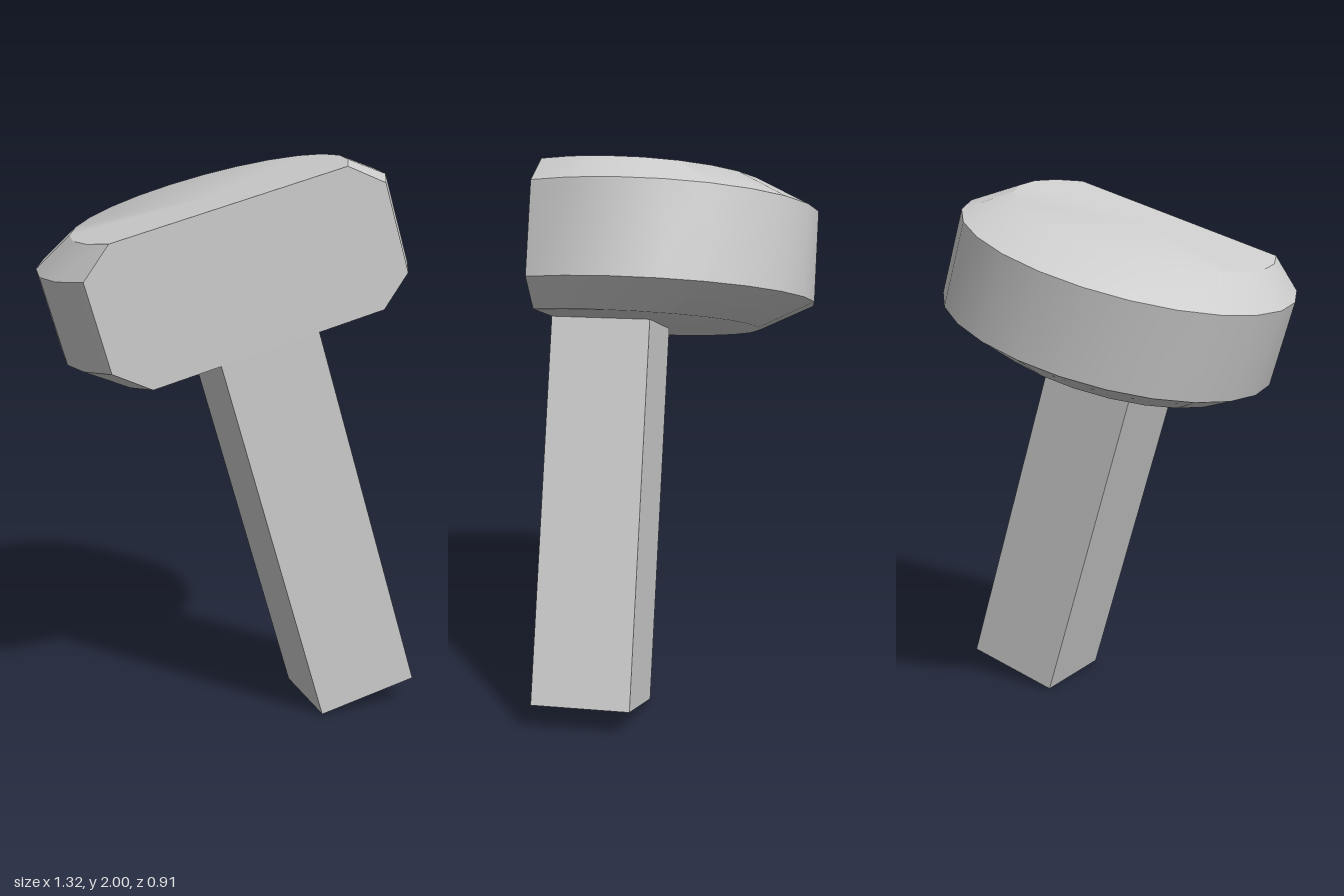
import * as THREE from 'three';
import { toCreasedNormals } from 'three/addons/utils/BufferGeometryUtils.js';

const FRONT = 0.455; // plane of the flat front

// Leaning frame: x runs along the head, y up the handle, origin at the handle's foot
const lean = new THREE.Matrix4().makeBasis(
  new THREE.Vector3(1, 0.276, 0),
  new THREE.Vector3(-0.295, 1, 0),
  new THREE.Vector3(0, 0, 1)
).setPosition(0.462, 0.049, 0);

// Round head cut flat at the front, with bevels above and below
function headGeometry() {
  const steps = 16, n = steps + 1;
  const rings = [[1.317, 0.785], [1.411, 1], [1.723, 1], [1.814, 0.785]]; // height, scale
  const pos = [], index = [];
  for (const [y, s] of rings) {
    for (let i = 0; i < n; i++) {
      const a = -Math.PI / 6 + (i / steps) * Math.PI * 4 / 3;
      // scaled towards the front plane, so the front stays flat
      pos.push(0.613 * s * Math.cos(a), y, FRONT - 0.608 * s * (0.5 + Math.sin(a)));
    }
  }
  const bottom = rings.length * n, top = bottom + 1;
  for (const [y, s] of [rings[0], rings[3]]) pos.push(0, y, FRONT - 0.304 * s);
  for (let i = 0; i < n; i++) {
    const j = (i + 1) % n;
    for (let r = 0; r < rings.length - 1; r++) {
      const a = r * n + i, b = r * n + j;
      index.push(a, b, b + n, a, b + n, a + n);
    }
    index.push(bottom, j, i, top, 3 * n + i, 3 * n + j);
  }
  const geo = new THREE.BufferGeometry();
  geo.setAttribute('position', new THREE.Float32BufferAttribute(pos, 3));
  geo.setIndex(index);
  geo.applyMatrix4(lean);
  return toCreasedNormals(geo, Math.PI / 6);
}

export function createModel() {
  const group = new THREE.Group();
  group.name = 'hammer';
  const grey = new THREE.MeshStandardMaterial({ color: 0xcccccc });
  grey.name = 'light grey';

  const head = new THREE.Mesh(headGeometry(), grey);
  head.name = 'head';

  // Square handle, flush with the front of the head
  const handleGeo = new THREE.BoxGeometry(0.354, 1.317, 0.355)
    .translate(0, 1.317 / 2, FRONT - 0.355 / 2)
    .applyMatrix4(lean);
  const handle = new THREE.Mesh(handleGeo, grey);
  handle.name = 'handle';

  group.add(head, handle);
  return group;
}
